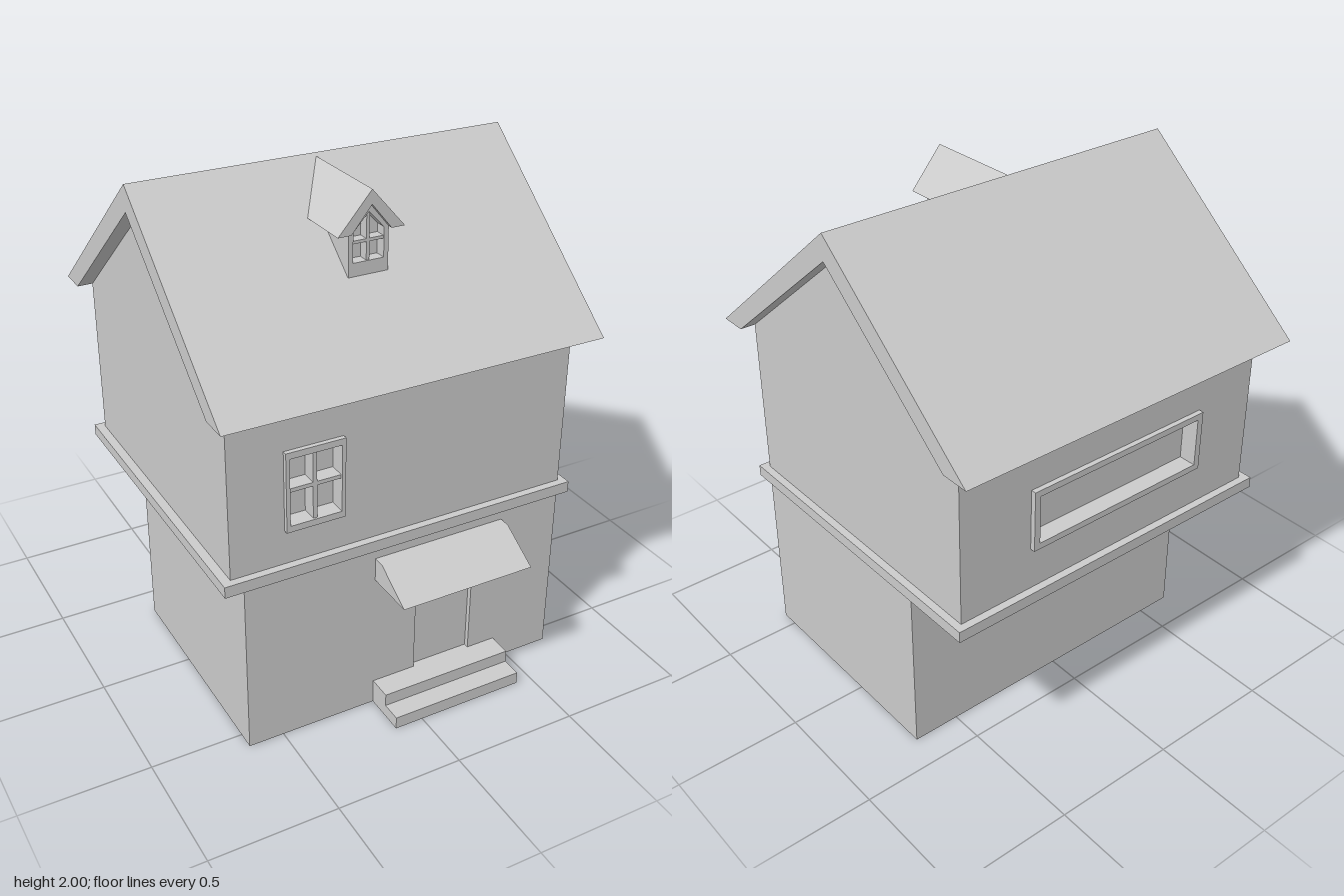
import * as THREE from 'three';

const mat = new THREE.MeshStandardMaterial({ color: 0xcccccc, flatShading: true });

export function createModel() {
  const house = new THREE.Group();
  house.name = 'house';

  const add = (name, geo, parent = house) => {
    const m = new THREE.Mesh(geo, mat);
    m.name = name;
    parent.add(m);
    return m;
  };
  // Box given by its limits on each axis
  const box = (name, x0, x1, y0, y1, z0, z1, parent) =>
    add(name, new THREE.BoxGeometry(x1 - x0, y1 - y0, z1 - z0)
      .translate((x0 + x1) / 2, (y0 + y1) / 2, (z0 + z1) / 2), parent);

  const vecs = (pts) => pts.map(([a, b]) => new THREE.Vector2(a, b));
  const rect = (x0, x1, y0, y1) => [[x0, y0], [x1, y0], [x1, y1], [x0, y1]];
  const extrude = (pts, hole, depth) => {
    const shape = new THREE.Shape(vecs(pts));
    if (hole) shape.holes.push(new THREE.Path(vecs(hole)));
    return new THREE.ExtrudeGeometry(shape, { depth, bevelEnabled: false });
  };
  // Outline in x, y extruded from z0 to z1
  const plate = (name, pts, hole, z0, z1, parent) =>
    add(name, extrude(pts, hole, z1 - z0).translate(0, 0, z0), parent);
  // Outline in z, y extruded from x0 to x1
  const profile = (name, pts, x0, x1) =>
    add(name, extrude(pts.map(([z, y]) => [-z, y]), null, x1 - x0)
      .rotateY(Math.PI / 2).translate(x0, 0, 0));

  // Ground floor with a shallow door recess
  box('lowerWalls', -0.64, 0.69, 0, 0.72, -0.37, 0.55);
  plate('lowerFrontWall', rect(-0.64, 0.69, 0, 0.72), rect(0.065, 0.315, 0.1, 0.57), 0.55, 0.57);
  box('floorBand', -0.725, 0.72, 0.72, 0.765, -0.69, 0.6);

  // Entrance steps and canopy
  box('lowerStep', -0.115, 0.435, 0, 0.05, 0.57, 0.745);
  box('upperStep', -0.115, 0.435, 0.05, 0.1, 0.57, 0.665);
  profile('doorCanopy', [[0.57, 0.57], [0.775, 0.57], [0.615, 0.665], [0.57, 0.665]], -0.115, 0.435);

  // Upper floor: core, front and back walls with window recesses, gable
  const frontHole = rect(-0.465, -0.265, 0.925, 1.19);
  const backHole = rect(-0.395, 0.36, 0.96, 1.155);
  box('upperWalls', -0.69, 0.69, 0.765, 1.4, -0.61, 0.52);
  plate('upperFrontWall', rect(-0.69, 0.69, 0.765, 1.4), frontHole, 0.52, 0.57);
  plate('upperBackWall', rect(-0.69, 0.69, 0.765, 1.4), backHole, -0.66, -0.61);
  profile('gable', [[0.57, 1.4], [-0.045, 1.9], [-0.66, 1.4]], -0.69, 0.69);

  // Front window
  const frontWindow = new THREE.Group();
  frontWindow.name = 'frontWindow';
  house.add(frontWindow);
  plate('frame', rect(-0.48, -0.25, 0.9, 1.215), frontHole, 0.57, 0.588, frontWindow);
  box('uprightBar', -0.374, -0.358, 0.925, 1.19, 0.52, 0.58, frontWindow);
  box('crossBar', -0.465, -0.265, 1.055, 1.07, 0.52, 0.58, frontWindow);

  // Back window
  plate('backWindowFrame', rect(-0.42, 0.385, 0.935, 1.18), backHole, -0.68, -0.66);

  // Main roof
  profile('roof', [[0.68, 1.4], [-0.045, 2], [-0.775, 1.4], [-0.66, 1.4],
    [-0.045, 1.9], [0.57, 1.4]], -0.75, 0.75);

  // Dormer
  const dormer = new THREE.Group();
  dormer.name = 'dormer';
  dormer.position.x = -0.033;
  house.add(dormer);
  const opening = [[-0.06, 1.73], [0.06, 1.73], [0.06, 1.84], [0, 1.905], [-0.06, 1.84]];
  plate('dormerWalls', [[-0.078, 1.68], [0.078, 1.68], [0.078, 1.845], [0, 1.94], [-0.078, 1.845]],
    opening, -0.03, 0.345, dormer);
  plate('dormerPane', opening, null, 0.29, 0.3, dormer);
  box('dormerUprightBar', -0.006, 0.006, 1.73, 1.9, 0.3, 0.34, dormer);
  box('dormerCrossBar', -0.06, 0.06, 1.797, 1.808, 0.3, 0.34, dormer);
  plate('dormerRoof', [[-0.13, 1.84], [-0.078, 1.84], [0, 1.937], [0.078, 1.84], [0.13, 1.84], [0, 1.99]],
    null, -0.03, 0.365, dormer);

  return house;
}
